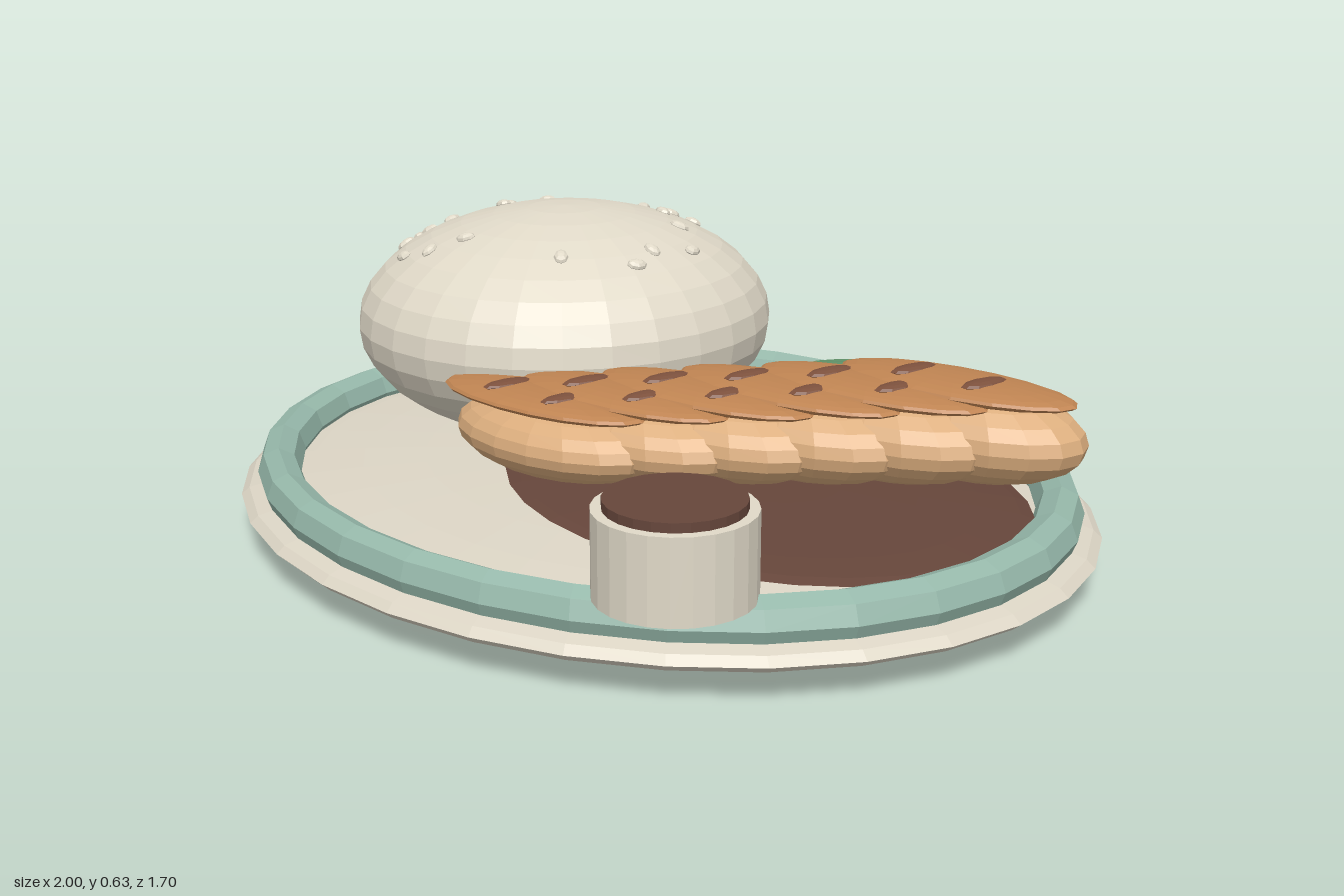
import * as THREE from 'three';

const mat = (name, color, flatShading = true) => {
  const m = new THREE.MeshStandardMaterial({ color, flatShading });
  m.name = name;
  return m;
};

export function createModel() {
  const model = new THREE.Group();
  model.name = 'sandwichPlate';
  const M = {
    china: mat('china cream', 0xdcd5c5),
    bun: mat('bun cream', 0xe0d9c8),
    glaze: mat('sage glaze', 0x96b8aa),
    sauce: mat('dark sauce', 0x66463b),
    meat: mat('tan meat', 0xdcae7e),
    crust: mat('browned crust', 0xbf8452),
    char: mat('grill char', 0x7d513d),
    leaf: mat('lettuce green', 0x61946a),
  };

  const add = (name, geo, material, pos, parent = model) => {
    const mesh = new THREE.Mesh(geo, material);
    mesh.name = name;
    mesh.position.set(...pos);
    parent.add(mesh);
    return mesh;
  };
  const blob = (name, material, pos, radii, turn = 0, parent = model, w = 18, h = 12) => {
    const mesh = add(name, new THREE.SphereGeometry(1, w, h), material, pos, parent);
    mesh.scale.set(...radii);
    mesh.rotation.y = turn;
    return mesh;
  };
  const group = (name) => {
    const g = new THREE.Group();
    g.name = name;
    model.add(g);
    return g;
  };

  // Oval plate with a raised glazed rim
  blob('plate', M.china, [0, 0.08, 0], [1, 0.08, 0.85], 0, model, 32, 16);
  const rim = add('plateRim', new THREE.TorusGeometry(0.91, 0.052, 8, 32).rotateX(Math.PI / 2), M.glaze, [0, 0.13, 0]);
  rim.scale.set(1, 1, 0.845);

  // Pool of sauce under the meat
  blob('saucePool', M.sauce, [0.3, 0.16, -0.02], [0.61, 0.022, 0.47], 0, model, 32, 10);

  // Round bun
  const bunC = new THREE.Vector3(-0.425, 0.37, -0.09);
  const bunR = new THREE.Vector3(0.467, 0.26, 0.483);
  blob('bun', M.bun, bunC.toArray(), bunR.toArray(), 0, model, 28, 18);

  // Seeds scattered on the bun, each laid along the surface
  const seeds = group('seeds');
  const spots = [
    [-0.5, -0.45], [-0.35, -0.42], [-0.47, -0.37], [-0.385, -0.38], [-0.35, -0.325], [-0.74, -0.21],
    [-0.63, -0.2], [-0.73, -0.15], [-0.68, -0.12], [-0.625, -0.065], [-0.715, 0.02], [-0.745, 0.065],
    [-0.765, 0.08], [-0.74, 0.135], [-0.58, 0.25], [-0.5, 0.235], [-0.445, 0.175], [-0.2, 0.1],
    [-0.1, -0.03], [-0.13, -0.1], [-0.12, -0.21], [-0.23, -0.27],
  ];
  spots.forEach(([x, z], i) => {
    const u = (x - bunC.x) / bunR.x, w = (z - bunC.z) / bunR.z;
    const v = Math.sqrt(1 - u * u - w * w);
    const normal = new THREE.Vector3(u / bunR.x, v / bunR.y, w / bunR.z).normalize();
    const seed = blob('seed', M.bun, [x, bunC.y + v * bunR.y, z], [0.016, 0.011, 0.023], 0, seeds, 8, 6);
    seed.quaternion.setFromUnitVectors(new THREE.Vector3(0, 1, 0), normal);
    seed.rotateY(i * 1.9);
  });

  // Row of overlapping meat slices with browned tops and grill marks
  const slices = group('meatSlices');
  const count = 6;
  for (let i = 0; i < count; i++) {
    const t = i / (count - 1);
    const mix = (a, b) => a + (b - a) * t;
    const x = mix(0, 0.64), z = mix(0.27, -0.26);
    blob('meatSlice', M.meat, [x, mix(0.257, 0.315), z], [0.26, mix(0.083, 0.1), 0.15], 0.15, slices);
    const capY = mix(0.342, 0.412);
    blob('crust', M.crust, [x, capY, z + 0.04], [0.262, 0.021, 0.1], 0.18, slices);
    for (const s of [-1, 1])
      blob('grillMark', M.char, [x + s * 0.08 - 0.01, capY + 0.017, z + 0.05 - s * 0.012], [0.025, 0.009, 0.058], -0.1, slices, 10, 6);
  }

  // Fan of lettuce lobes spreading from one stem
  const lettuce = group('lettuce');
  const stem = [-0.08, -0.52];
  const tips = [[0.3, -0.77], [0.38, -0.66], [0.42, -0.53], [0.4, -0.4], [0.34, -0.29], [0.22, -0.24]];
  tips.forEach(([x, z], i) => {
    const dx = x - stem[0], dz = z - stem[1];
    blob('lettuceLobe', M.leaf, [stem[0] + dx / 2, 0.238 + (i % 2) * 0.004, stem[1] + dz / 2],
      [Math.hypot(dx, dz) / 2, 0.02, 0.085], -Math.atan2(dz, dx), lettuce, 16, 8);
  });

  // Dip cup filled with sauce
  add('dipCup', new THREE.CylinderGeometry(0.15, 0.15, 0.165, 24), M.bun, [0.64, 0.2525, 0.52]);
  add('dipSauce', new THREE.CylinderGeometry(0.13, 0.13, 0.022, 24), M.sauce, [0.64, 0.342, 0.52]);

  return model;
}
